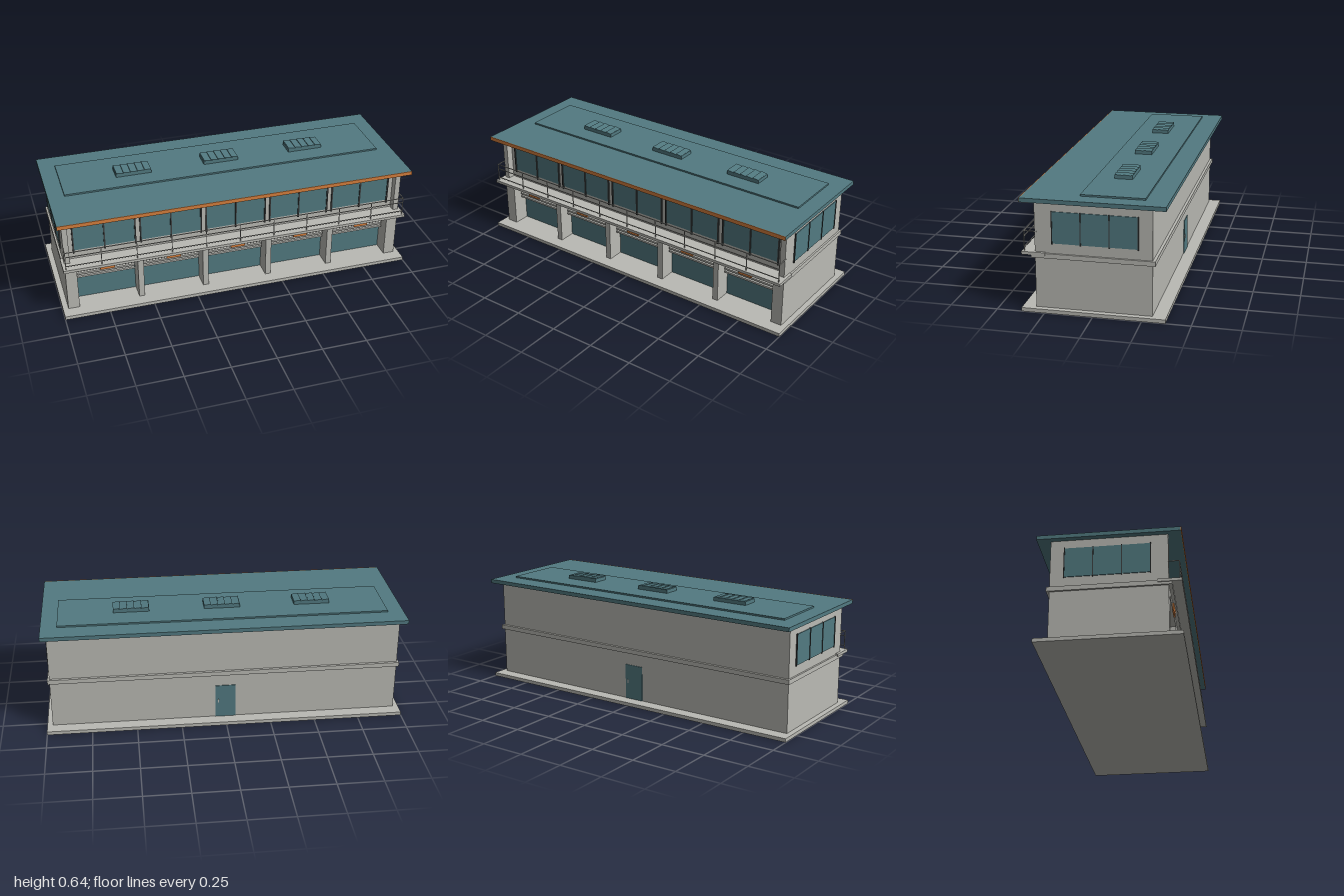
import * as THREE from 'three';

const mat = (name, color) => {
  const m = new THREE.MeshStandardMaterial({ color });
  m.name = name;
  return m;
};

export function createModel() {
  const root = new THREE.Group();
  root.name = 'garageBuilding';
  const wall = mat('concrete', 0xbabab4);
  const teal = mat('teal', 0x527a81);
  const orange = mat('orange', 0xd67f3e);
  const dark = mat('darkMetal', 0x3c4040);

  // Box given by its min and max along each axis
  const box = (name, m, x0, x1, y0, y1, z0, z1, parent = root) => {
    const mesh = new THREE.Mesh(new THREE.BoxGeometry(x1 - x0, y1 - y0, z1 - z0), m);
    mesh.position.set((x0 + x1) / 2, (y0 + y1) / 2, (z0 + z1) / 2);
    mesh.name = name;
    parent.add(mesh);
    return mesh;
  };
  const group = (name) => {
    const g = new THREE.Group();
    g.name = name;
    root.add(g);
    return g;
  };

  // Base, lower storey, upper storey and floor band
  box('baseSlab', wall, -1, 1, 0, 0.02, -0.37, 0.37);
  box('lowerStorey', wall, -0.97, 0.97, 0.02, 0.3, -0.3, 0.2);
  box('bayLintel', wall, -0.97, 0.97, 0.26, 0.3, 0.2, 0.3);
  box('upperStorey', wall, -0.97, 0.97, 0.3, 0.58, -0.3, 0.26);
  box('floorBand', wall, -0.98, 0.98, 0.288, 0.313, -0.315, 0.317);
  box('balconyFloor', wall, -0.985, 0.985, 0.302, 0.318, 0.245, 0.367);
  for (const s of [-1, 1]) {
    const a = s * 0.955;
    box('upperSideWall', wall, a - 0.015, a + 0.015, 0.3, 0.58, 0.26, 0.3);
    const p = s * 0.9385;
    box('endPier', wall, p - 0.0315, p + 0.0315, 0.02, 0.26, 0.2, 0.3);
  }

  // Piers between the bays
  for (let i = 0; i < 4; i++) {
    const x = -0.555 + i * 0.37;
    box('bayPier', wall, x - 0.016, x + 0.016, 0.02, 0.26, 0.2, 0.3);
  }

  // Five bays: door, raised shutter slats, sign and window above
  for (let i = 0; i < 5; i++) {
    const x = (i - 2) * 0.37;
    const bay = group('bay' + (i + 1));
    box('bayDoor', teal, x - 0.169, x + 0.169, 0.02, 0.26, 0.199, 0.206, bay);
    for (let k = 0; k < 4; k++) {
      const y = 0.178 + k * 0.02;
      box('shutterSlat', wall, x - 0.16, x + 0.16, y, y + 0.011, 0.235, 0.25, bay);
    }
    box('baySign', orange, x - 0.04, x + 0.04, 0.247, 0.289, 0.299, 0.308, bay);
    box('frontWindow', teal, x - 0.17, x + 0.17, 0.37, 0.54, 0.258, 0.263, bay);
    for (const d of [-0.17, 0, 0.17]) {
      box('frontMullion', dark, x + d - 0.004, x + d + 0.004, 0.353, 0.546, 0.258, 0.268, bay);
    }
  }

  // Side windows with mullions
  for (const s of [-1, 1]) {
    const w = group(s > 0 ? 'leftWindow' : 'rightWindow');
    const x = s * 0.97;
    box('sideGlass', teal, x - 0.004, x + 0.004, 0.367, 0.533, -0.228, 0.21, w);
    for (let i = 0; i < 4; i++) {
      const z = 0.21 - i * 0.146;
      box('sideMullion', dark, x - 0.007, x + 0.007, 0.363, 0.536, z - 0.0025, z + 0.0025, w);
    }
  }

  // Back door with handle
  box('backDoor', teal, -0.056, 0.056, 0.02, 0.218, -0.304, -0.299);
  box('doorHandle', wall, 0.036, 0.042, 0.11, 0.132, -0.307, -0.303);

  // Balcony railing
  const railing = group('railing');
  const r = 0.002;
  for (let i = 0; i <= 10; i++) {
    const x = -0.97 + i * 0.194;
    box('railPost', wall, x - r, x + r, 0.318, 0.423, 0.355 - r, 0.355 + r, railing);
  }
  for (const y of [0.423, 0.395, 0.338]) {
    box('frontRail', wall, -0.972, 0.972, y - r, y + r, 0.355 - r, 0.355 + r, railing);
  }
  for (const x of [-0.97, 0.97]) {
    box('sideRail', wall, x - r, x + r, 0.421, 0.425, 0.29, 0.355, railing);
  }

  // Roof with orange front fascia and raised panel
  box('roof', teal, -1, 1, 0.58, 0.602, -0.37, 0.366);
  box('roofFascia', orange, -1, 1, 0.58, 0.602, 0.366, 0.37);
  box('roofPanel', teal, -0.91, 0.91, 0.602, 0.611, -0.252, 0.079);

  // Roof vents with sloped slats
  for (const x of [-0.505, 0, 0.505]) {
    const vent = group('roofVent');
    box('ventBody', teal, x - 0.1, x + 0.1, 0.611, 0.631, -0.12, -0.024, vent);
    for (let i = 0; i < 5; i++) {
      const c = x - 0.08 + i * 0.04;
      const slat = box('ventSlat', teal, c - 0.018, c + 0.018, 0.63, 0.634, -0.12, -0.024, vent);
      slat.rotation.z = -0.12;
    }
  }
  return root;
}
